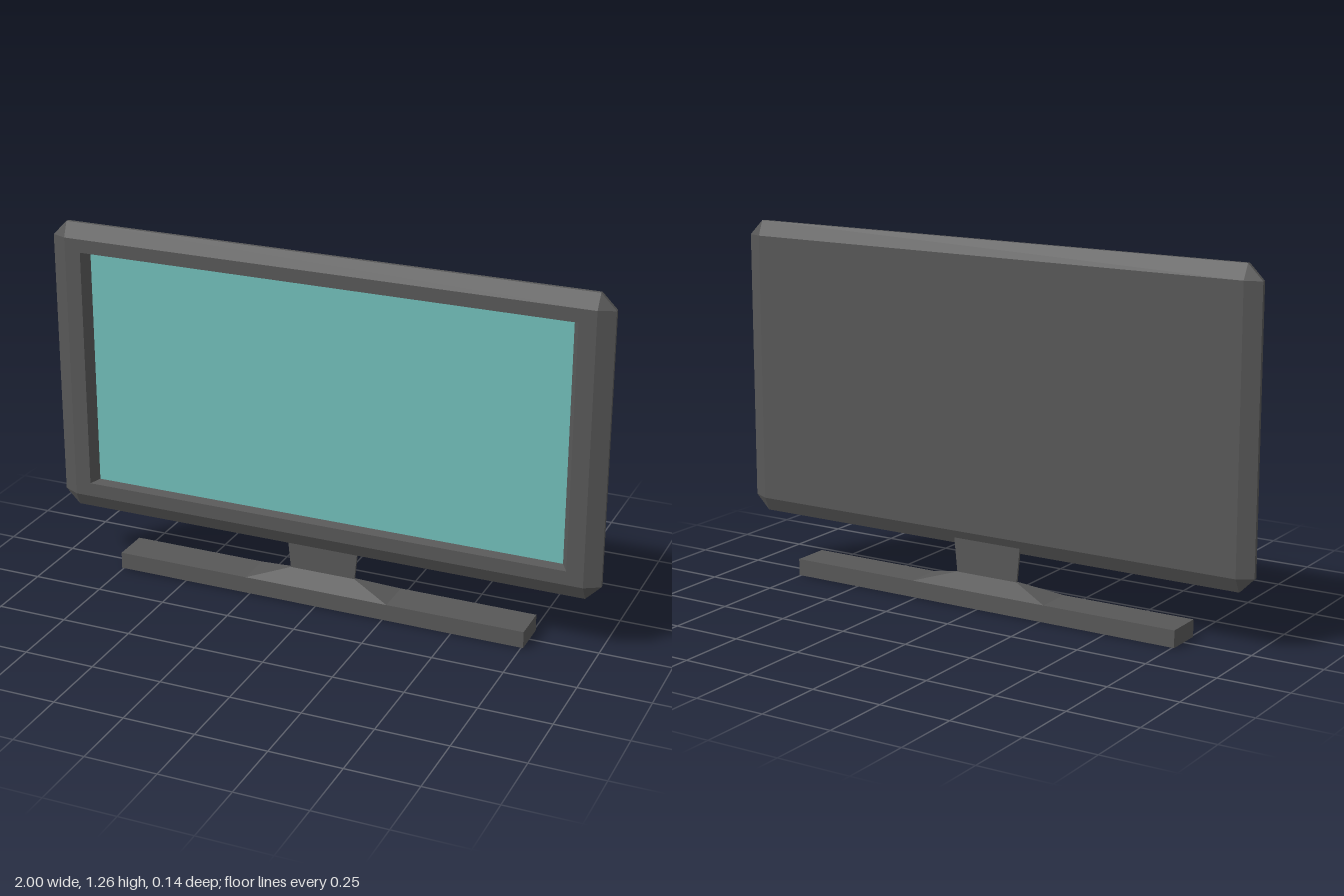
import * as THREE from 'three';

const grey = new THREE.MeshStandardMaterial({ color: 0x585858, flatShading: true });
const teal = new THREE.MeshStandardMaterial({ color: 0x72c0bb, flatShading: true });

function mesh(name, geometry, material) {
  const m = new THREE.Mesh(geometry, material);
  m.name = name;
  return m;
}

// Rectangle with corners cut by c, counter-clockwise from the front (c = 0 doubles the corners)
function ring(hx, y0, y1, z, c = 0) {
  return [
    [hx, y0 + c], [hx, y1 - c], [hx - c, y1], [c - hx, y1],
    [-hx, y1 - c], [-hx, y0 + c], [c - hx, y0], [hx - c, y0],
  ].map(([x, y]) => new THREE.Vector3(x, y, z));
}

// Flat-faced skin through a list of rings, leaving out zero-area triangles
function loft(rings) {
  const points = [];
  const add = (a, b, c) => {
    if (new THREE.Triangle(a, b, c).getArea() > 1e-8) points.push(a, b, c);
  };
  for (let r = 0; r < rings.length - 1; r++) {
    const a = rings[r], b = rings[r + 1];
    for (let i = 0; i < a.length; i++) {
      const j = (i + 1) % a.length;
      add(a[i], b[i], b[j]);
      add(a[i], b[j], a[j]);
    }
  }
  const g = new THREE.BufferGeometry().setFromPoints(points);
  g.computeVertexNormals();
  return g;
}

// Block whose bottom and top rectangles differ; half sizes [x, z]
function taperedBlock(y0, [bx, bz], y1, [tx, tz]) {
  const g = new THREE.BoxGeometry(2, 2, 2).toNonIndexed();
  const p = g.attributes.position;
  for (let i = 0; i < p.count; i++) {
    const top = p.getY(i) > 0;
    p.setXYZ(i, p.getX(i) * (top ? tx : bx), top ? y1 : y0, p.getZ(i) * (top ? tz : bz));
  }
  g.computeVertexNormals();
  return g;
}

export function createModel() {
  const group = new THREE.Group();

  // Bevelled casing, from the recess edge round the rim to the middle of the back
  group.add(mesh('casing', loft([
    ring(0.864, 0.308, 1.153, 0.01),
    ring(0.886, 0.3, 1.163, 0.044),
    ring(0.945, 0.25, 1.21, 0.044),
    ring(1, 0.2, 1.262, 0.019, 0.053),
    ring(1, 0.2, 1.262, 0.006, 0.053),
    ring(0.945, 0.25, 1.21, -0.018),
    ring(0, 0.73, 0.73, -0.018),
  ]), grey));

  // Screen at the bottom of the recess
  const screen = mesh('screen', new THREE.PlaneGeometry(1.728, 0.845), teal);
  screen.position.set(0, 0.7305, 0.01);
  group.add(screen);

  // Stand: thin neck, sloped foot and long base bar
  group.add(mesh('neck', taperedBlock(0.1, [0.12, 0.004], 0.25, [0.135, 0.004]), grey));
  group.add(mesh('foot', taperedBlock(0.06, [0.265, 0.068], 0.1, [0.12, 0.004]), grey));
  group.add(mesh('base', taperedBlock(0, [0.757, 0.068], 0.06, [0.757, 0.068]), grey));

  return group;
}
